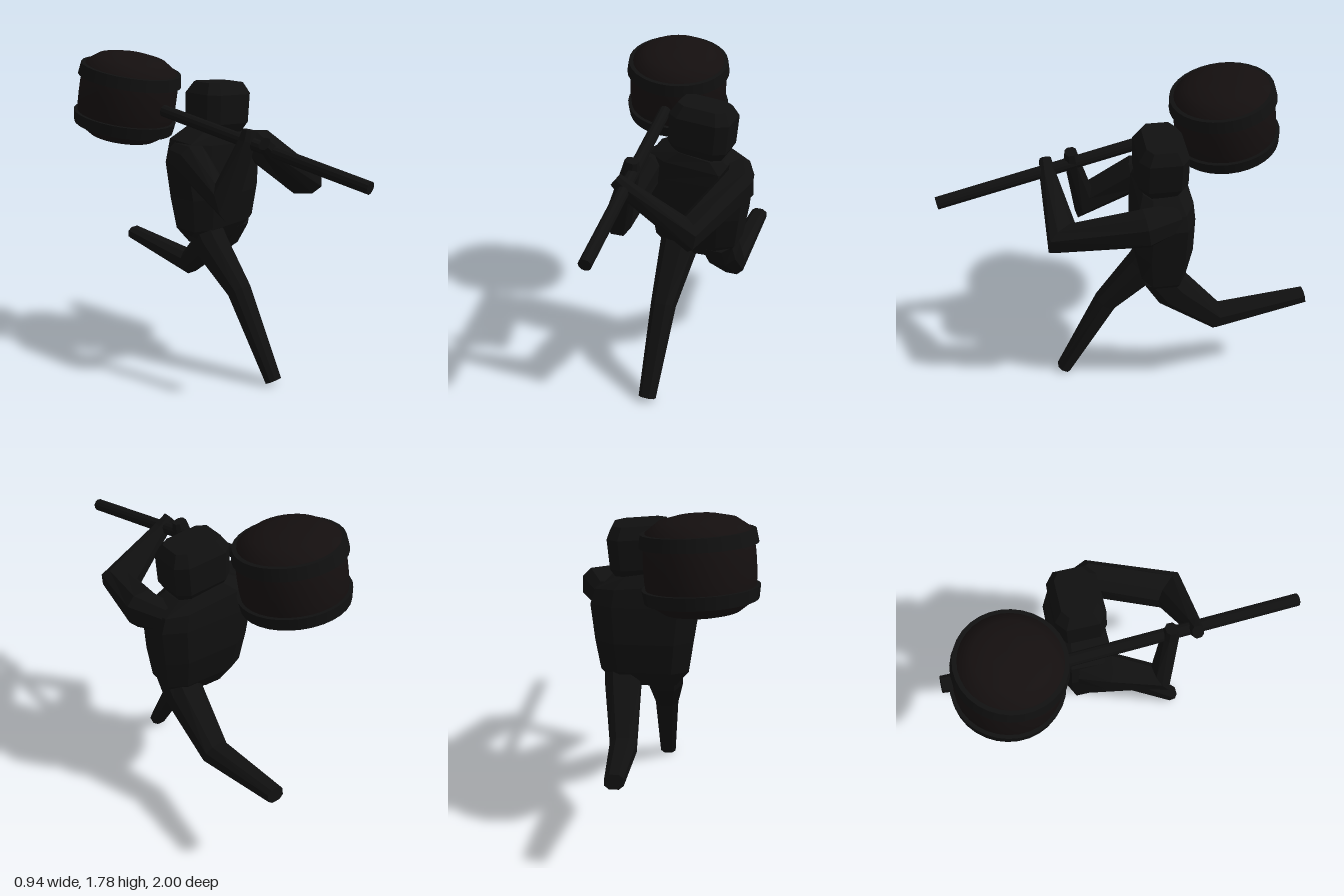
import * as THREE from 'three';

const V = (a) => new THREE.Vector3(...a);
const bodyMat = new THREE.MeshStandardMaterial({ color: 0x101010, flatShading: true });
const barrelMat = new THREE.MeshStandardMaterial({ color: 0x140f0f });
const bandMat = new THREE.MeshStandardMaterial({ color: 0x101010 });

// Closed faceted loft through sections [x, y, z, halfU, halfV];
// each section is a chamfered rectangle across the path, with u along ref.
function loft(name, sections, ref = [1, 0, 0], chamfer = 0.5) {
  const corners = [[1, -chamfer], [1, chamfer], [chamfer, 1], [-chamfer, 1],
    [-1, chamfer], [-1, -chamfer], [-chamfer, -1], [chamfer, -1]];
  const centers = sections.map((s) => V(s.slice(0, 3)));
  const dirs = centers.slice(1).map((c, i) => c.clone().sub(centers[i]).normalize());
  const rings = sections.map((s, i) => {
    const t = (dirs[i - 1] || dirs[i]).clone().add(dirs[i] || dirs[i - 1]).normalize();
    const u = V(ref).addScaledVector(t, -V(ref).dot(t)).normalize();
    const v = t.clone().cross(u);
    return corners.map(([a, b]) => centers[i].clone().addScaledVector(u, a * s[3]).addScaledVector(v, b * s[4]));
  });
  const pts = [];
  const n = corners.length;
  for (let k = 0; k < rings.length - 1; k++) {
    const [p, q] = [rings[k], rings[k + 1]];
    for (let i = 0; i < n; i++) {
      const j = (i + 1) % n;
      pts.push(p[i], p[j], q[j], p[i], q[j], q[i]);
    }
  }
  const last = rings[rings.length - 1];
  for (let i = 1; i < n - 1; i++) {
    pts.push(rings[0][0], rings[0][i + 1], rings[0][i], last[0], last[i], last[i + 1]);
  }
  const geo = new THREE.BufferGeometry().setFromPoints(pts);
  geo.computeVertexNormals();
  const mesh = new THREE.Mesh(geo, bodyMat);
  mesh.name = name;
  return mesh;
}

// Barrel mallet: pole runs through the centre of a banded, domed barrel
function createMallet() {
  const mallet = new THREE.Group();
  mallet.name = 'mallet';
  const head = V([-0.18, 1.525, -0.575]);
  const tip = V([-0.007, 1.24, 0.99]);
  const along = tip.clone().sub(head);

  const pole = new THREE.Mesh(new THREE.CylinderGeometry(0.034, 0.034, along.length(), 12), bodyMat);
  pole.name = 'pole';
  pole.position.copy(head).addScaledVector(along, 0.5);
  pole.quaternion.setFromUnitVectors(V([0, 1, 0]), along.clone().normalize());
  mallet.add(pole);

  const barrel = new THREE.Group();
  barrel.name = 'barrel';
  barrel.position.copy(head);
  barrel.quaternion.setFromUnitVectors(V([0, 1, 0]), V([0.07, 1, 0.16]).normalize());
  const half = [[0.275, 0], [0.274, 0.06], [0.268, 0.12], [0.255, 0.175], [0.19, 0.222], [0.1, 0.243], [0, 0.247]];
  const profile = [...half.slice(1).reverse().map(([r, y]) => [r, -y]), ...half];
  const staves = new THREE.Mesh(
    new THREE.LatheGeometry(profile.map(([r, y]) => new THREE.Vector2(r, y)), 32), barrelMat);
  staves.name = 'barrelBody';
  barrel.add(staves);
  for (const side of [-1, 1]) {
    const band = new THREE.Mesh(new THREE.CylinderGeometry(
      side > 0 ? 0.28 : 0.29, side > 0 ? 0.29 : 0.28, 0.065, 32), bandMat);
    band.name = 'barrelBand';
    band.position.y = side * 0.135;
    barrel.add(band);
  }
  mallet.add(barrel);
  return mallet;
}

export function createModel() {
  const model = new THREE.Group();
  model.name = 'runnerWithMallet';

  // Torso and head
  model.add(loft('torso', [
    [0.12, 0.73, -0.18, 0.17, 0.07],
    [0.115, 0.82, -0.178, 0.235, 0.12],
    [0.115, 1.0, -0.18, 0.26, 0.15],
    [0.11, 1.2, -0.185, 0.285, 0.148],
    [0.11, 1.3, -0.182, 0.26, 0.14],
    [0.12, 1.36, -0.175, 0.15, 0.11],
  ], [1, 0, 0], 0.6));
  model.add(loft('head', [
    [0.12, 1.35, -0.17, 0.14, 0.1],
    [0.125, 1.4, -0.17, 0.165, 0.13],
    [0.135, 1.56, -0.17, 0.17, 0.13],
    [0.14, 1.62, -0.17, 0.135, 0.09],
  ], [1, -0.1, 0], 0.65));

  // Arms: shoulder, upper arm, elbow, hand
  model.add(loft('leftArm', [
    [0.31, 1.24, -0.22, 0.07, 0.07],
    [0.37, 1.235, -0.06, 0.09, 0.09],
    [0.25, 1.13, 0.36, 0.075, 0.1],
    [-0.06, 1.34, 0.4, 0.045, 0.04],
    [-0.12, 1.39, 0.405, 0.035, 0.03],
  ], [0, 1, 0]));
  model.add(loft('rightArm', [
    [-0.12, 1.24, -0.22, 0.07, 0.07],
    [-0.16, 1.23, -0.08, 0.085, 0.09],
    [-0.2, 1.06, 0.2, 0.07, 0.105],
    [-0.1, 1.38, 0.265, 0.045, 0.04],
    [-0.09, 1.44, 0.27, 0.035, 0.03],
  ]));

  // Legs: hip, thigh, knee, foot
  model.add(loft('rightLeg', [
    [0.01, 0.84, -0.18, 0.1, 0.09],
    [0.01, 0.725, -0.115, 0.095, 0.095],
    [0.015, 0.49, 0.11, 0.065, 0.06],
    [0.022, 0.02, 0.365, 0.045, 0.038],
  ]));
  model.add(loft('leftLeg', [
    [0.235, 0.84, -0.15, 0.1, 0.09],
    [0.235, 0.725, -0.23, 0.095, 0.1],
    [0.215, 0.478, -0.49, 0.07, 0.068],
    [0.212, 0.562, -0.995, 0.047, 0.038],
  ]));

  model.add(createMallet());
  return model;
}
